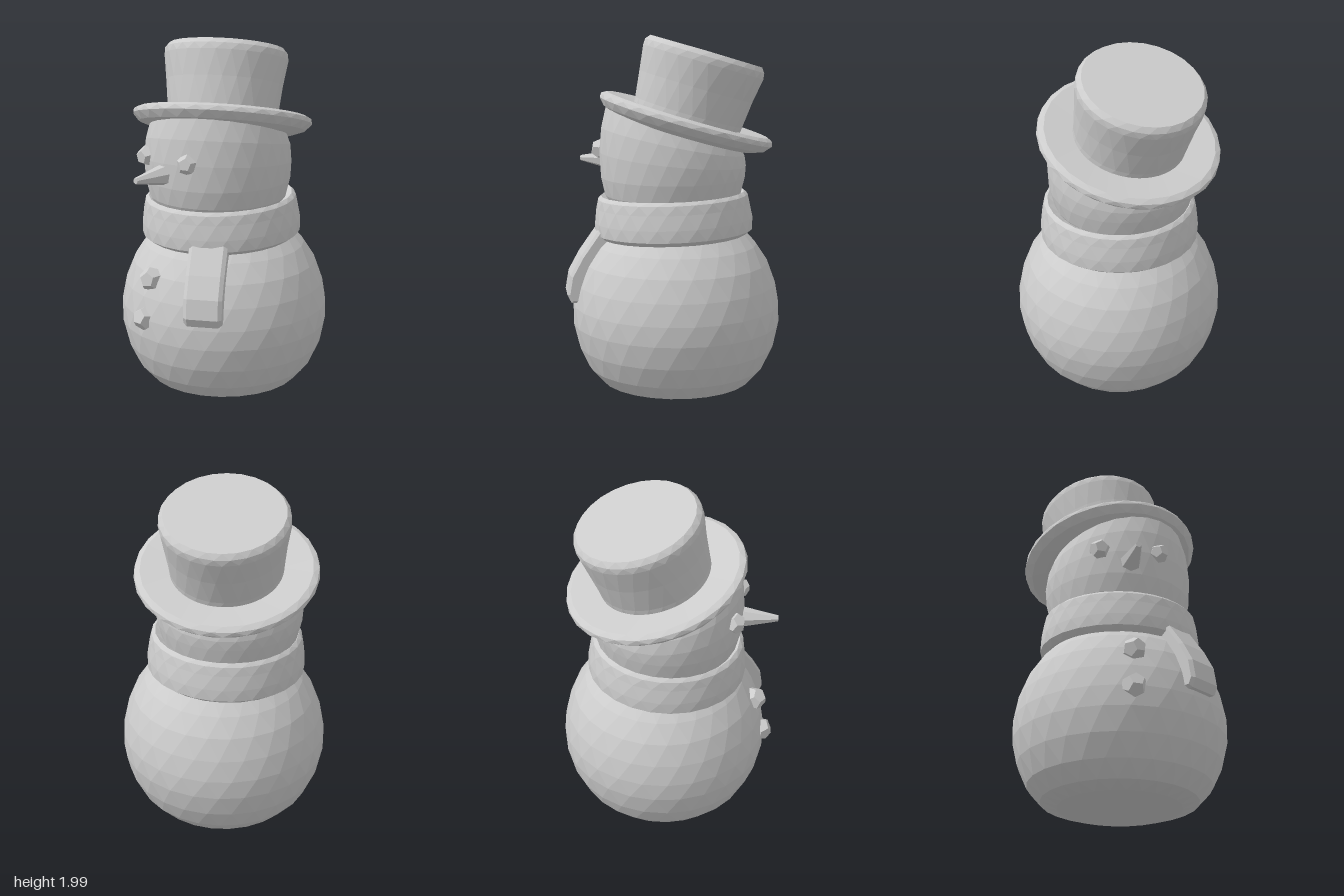
import * as THREE from 'three';

const SEGMENTS = 26;
const HAT_SLOPE = { x: 0.153, z: 0.25 }; // the hat rises toward the left and the front

export function createModel() {
  const model = new THREE.Group();
  model.name = 'snowman';
  const grey = new THREE.MeshStandardMaterial({ color: 0xcccccc, flatShading: true });
  grey.name = 'plain grey';

  function add(parent, name, geometry, x = 0, y = 0, z = 0) {
    const mesh = new THREE.Mesh(geometry, grey);
    mesh.name = name;
    mesh.position.set(x, y, z);
    parent.add(mesh);
    return mesh;
  }

  // Turned solid; each ring is turned half a step further so the facets are triangles
  function turned(profile) {
    const points = profile.map(([r, y]) => new THREE.Vector2(r, y));
    const geometry = new THREE.LatheGeometry(points, SEGMENTS);
    const pos = geometry.attributes.position;
    const v = new THREE.Vector3();
    const up = new THREE.Vector3(0, 1, 0);
    for (let i = 0; i < pos.count; i++) {
      const ring = i % points.length;
      v.fromBufferAttribute(pos, i).applyAxisAngle(up, ring * Math.PI / SEGMENTS);
      pos.setXYZ(i, v.x, v.y, v.z);
    }
    geometry.computeVertexNormals();
    return geometry;
  }

  // Body with a flattened base
  add(model, 'body', turned([
    [0, 0], [0.34, 0.005], [0.43, 0.035], [0.505, 0.12], [0.56, 0.24], [0.588, 0.37],
    [0.588, 0.48], [0.565, 0.6], [0.52, 0.72], [0.455, 0.82], [0.37, 0.91], [0, 0.95],
  ]), 0, 0, -0.02);

  // Head, its upper part sheared to meet the slanted hat
  const head = turned([
    [0, 1.0], [0.34, 1.02], [0.385, 1.1], [0.408, 1.2], [0.415, 1.3],
    [0.405, 1.4], [0.375, 1.49], [0, 1.5],
  ]);
  const hp = head.attributes.position;
  for (let i = 0; i < hp.count; i++) {
    const t = THREE.MathUtils.clamp((hp.getY(i) - 1.2) / 0.29, 0, 1);
    hp.setY(i, hp.getY(i) + t * (HAT_SLOPE.x * hp.getX(i) + HAT_SLOPE.z * hp.getZ(i)));
  }
  head.computeVertexNormals();
  add(model, 'head', head, -0.02, 0, 0.01);

  // Scarf ring, slightly higher at the back
  const scarf = add(model, 'scarf', turned([
    [0.34, -0.1], [0.415, -0.12], [0.448, -0.095], [0.448, -0.03], [0.435, 0.05],
    [0.425, 0.1], [0.405, 0.118], [0.36, 0.09],
  ]), -0.005, 0.99, 0);
  scarf.rotation.x = 0.04;

  // Hanging scarf end: a side profile that follows the body, given a width
  const tailShape = new THREE.Shape([
    [0.36, 0.93], [0.44, 0.905], [0.535, 0.77], [0.595, 0.66], [0.612, 0.56],
    [0.595, 0.525], [0.54, 0.525], [0.53, 0.64], [0.46, 0.77],
  ].map(([d, y]) => new THREE.Vector2(d, y)));
  const tail = new THREE.ExtrudeGeometry(tailShape, {
    depth: 0.17, bevelThickness: 0.02, bevelSize: 0.015, bevelSegments: 1,
  });
  tail.translate(0, 0, -0.085);
  add(model, 'scarfEnd', tail, 0, 0, -0.02).rotation.y = -0.985;

  // Hat: brim and flared crown on one slanted axis
  const hat = new THREE.Group();
  hat.name = 'hat';
  hat.position.set(-0.05, 1.505, -0.055);
  hat.quaternion.setFromUnitVectors(
    new THREE.Vector3(0, 1, 0),
    new THREE.Vector3(-HAT_SLOPE.x, 1, -HAT_SLOPE.z).normalize(),
  );
  model.add(hat);
  add(hat, 'brim', turned([
    [0, -0.06], [0.4, -0.06], [0.47, -0.035], [0.505, 0.005], [0.5, 0.03],
    [0.47, 0.045], [0.3, 0.03], [0, 0.03],
  ]));
  add(hat, 'crown', turned([
    [0.31, 0], [0.313, 0.06], [0.33, 0.21], [0.35, 0.35], [0.347, 0.385], [0.325, 0.412], [0, 0.415],
  ]));

  // Coal eyes and buttons
  const lumps = [
    ['leftEye', 0.13, 1.35, 0.395, 0.056],
    ['rightEye', -0.2, 1.345, 0.38, 0.06],
    ['upperButton', -0.04, 0.7, 0.51, 0.067],
    ['lowerButton', -0.05, 0.48, 0.55, 0.069],
  ];
  lumps.forEach(([name, x, y, z, r], i) => {
    add(model, name, new THREE.DodecahedronGeometry(r), x, y, z).rotation.set(i, 0.5 * i, 0.3);
  });

  // Blunt carrot nose
  const nose = new THREE.CylinderGeometry(0.017, 0.062, 0.22, 7);
  nose.rotateX(Math.PI / 2);
  add(model, 'nose', nose, -0.035, 1.27, 0.503);

  return model;
}
